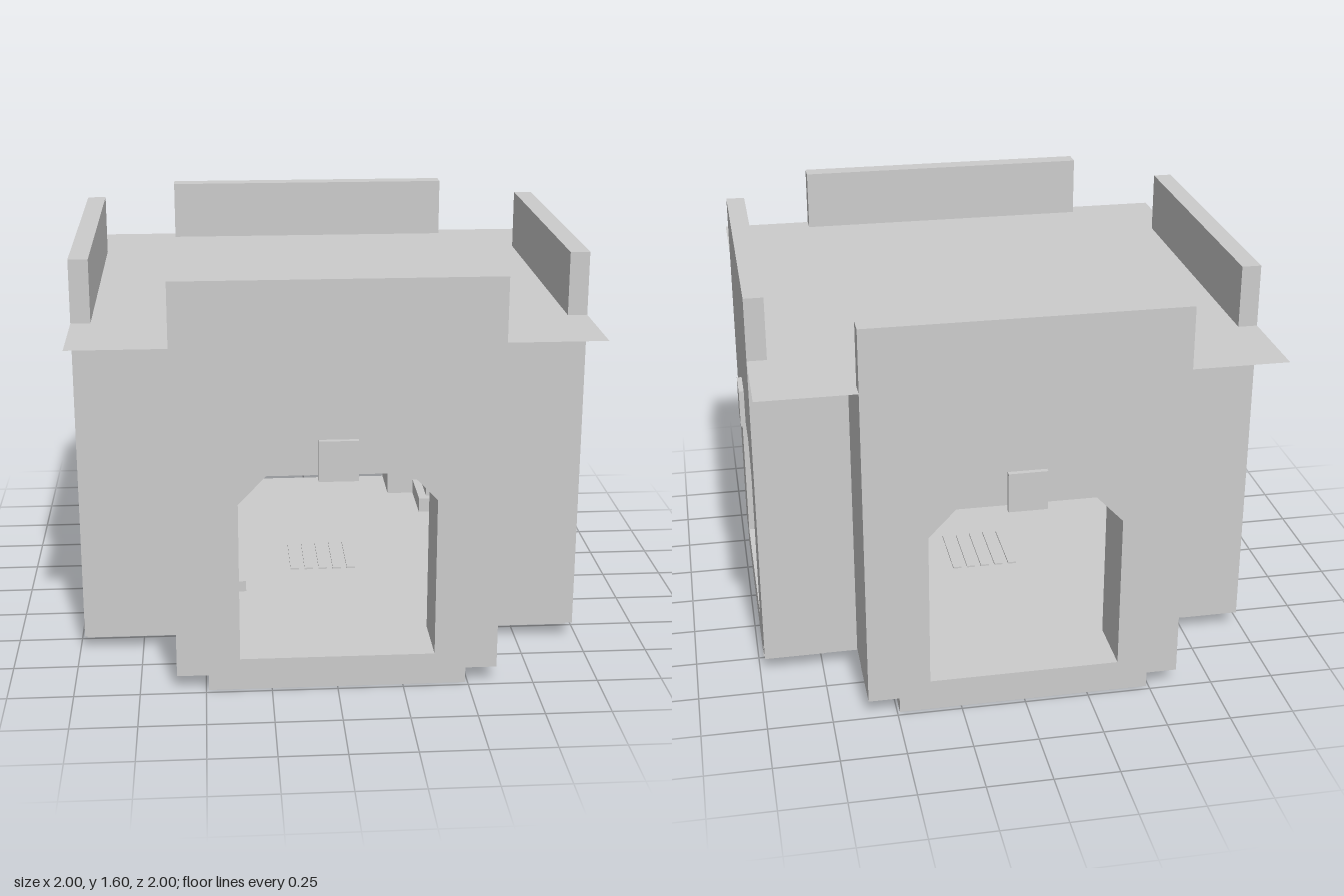
import * as THREE from 'three';

const OUT = 0.98;    // outer face of the door walls
const ARM = 0.61;    // half width of each arm of the cross plan
const BASE = 0.49;   // half width of the arms at the foot
const ROOF = 1.35;
const FLOOR = 0.125;

const shapeOf = (pts) => new THREE.Shape(pts.map(([x, y]) => new THREE.Vector2(x, y)));

// Cross-shaped slab lying between two heights
function crossSlab(w, reach, y0, y1) {
  const pts = [
    [w, w], [w, reach], [-w, reach], [-w, w], [-reach, w], [-reach, -w],
    [-w, -w], [-w, -reach], [w, -reach], [w, -w], [reach, -w], [reach, w],
  ];
  const g = new THREE.ExtrudeGeometry(shapeOf(pts), { depth: y1 - y0, bevelEnabled: false });
  return g.rotateX(-Math.PI / 2).translate(0, y0, 0);
}

// L-shaped strip that lines an inward corner, its inner edge at w
function cornerStrip(w, y0, y1, outer = ARM) {
  const end = 0.76;
  const pts = [[w, w], [end, w], [end, outer], [outer, outer], [outer, end], [w, end]];
  const g = new THREE.ExtrudeGeometry(shapeOf(pts), { depth: y1 - y0, bevelEnabled: false });
  return g.rotateX(-Math.PI / 2).translate(0, y0, 0);
}

export function createModel() {
  const model = new THREE.Group();
  const stone = new THREE.MeshStandardMaterial({ color: 0xcccccc });
  stone.name = 'grey stone';
  const sheet = new THREE.MeshStandardMaterial({ color: 0xcccccc, side: THREE.DoubleSide });
  sheet.name = 'grey roof sheet';

  const add = (parent, name, geometry, material = stone) => {
    const mesh = new THREE.Mesh(geometry, material);
    mesh.name = name;
    parent.add(mesh);
    return mesh;
  };
  const box = (parent, name, w, h, d, x, y, z) =>
    add(parent, name, new THREE.BoxGeometry(w, h, d).translate(x, y, z));

  // Foot and floor
  add(model, 'foot', crossSlab(BASE, 0.9, 0, 0.07));
  add(model, 'floor', crossSlab(ARM - 0.002, 0.9, 0.062, FLOOR));

  // Door wall: stepped foot, chamfered doorway, thin parapet
  const doorway = [
    [-0.37, FLOOR], [-0.37, 0.75], [-0.265, 0.86],
    [0.265, 0.86], [0.37, 0.75], [0.37, FLOOR],
  ];
  const outline = (top) => {
    const s = shapeOf([
      [-BASE, 0], [BASE, 0], [BASE, 0.062], [ARM, 0.062],
      [ARM, top], [-ARM, top], [-ARM, 0.062], [-BASE, 0.062],
    ]);
    s.holes.push(new THREE.Path(doorway.map(([x, y]) => new THREE.Vector2(x, y))));
    return s;
  };
  const outerLeaf = new THREE.ExtrudeGeometry(outline(1.595), { depth: 0.075, bevelEnabled: false })
    .translate(0, 0, OUT - 0.075);
  const innerLeaf = new THREE.ExtrudeGeometry(outline(ROOF - 0.004), { depth: 0.165, bevelEnabled: false })
    .translate(0, 0, OUT - 0.24);

  for (let i = 0; i < 4; i++) {
    const side = new THREE.Group();
    side.name = 'wallSide';
    side.rotation.y = i * Math.PI / 2;
    model.add(side);
    add(side, 'doorWall', outerLeaf);
    add(side, 'doorWallLining', innerLeaf);
    box(side, 'keystone', 0.148, 0.156, 0.02, 0, 0.918, 0.99);

    // Recessed corner with skirting and rail on the room side
    add(side, 'cornerWall', cornerStrip(0.527, 0.07, ROOF - 0.004));
    add(side, 'cornerSkirting', cornerStrip(BASE, FLOOR - 0.01, 0.19, 0.6));
    add(side, 'cornerRail', cornerStrip(BASE, 0.38, 0.44, 0.6));
  }

  // Flat roof sheet reaching over the recessed corners
  add(model, 'roof', new THREE.PlaneGeometry(2 * OUT, 2 * OUT)
    .rotateX(-Math.PI / 2).translate(0, ROOF, 0), sheet);

  // Floor grate and small block
  for (let i = -2; i <= 2; i++) {
    box(model, 'grateBar', 0.035, 0.008, 0.29, i * 0.06, FLOOR + 0.003, 0);
  }
  box(model, 'smallBlock', 0.04, 0.045, 0.04, -0.352, 0.155, 0.352);

  return model;
}
